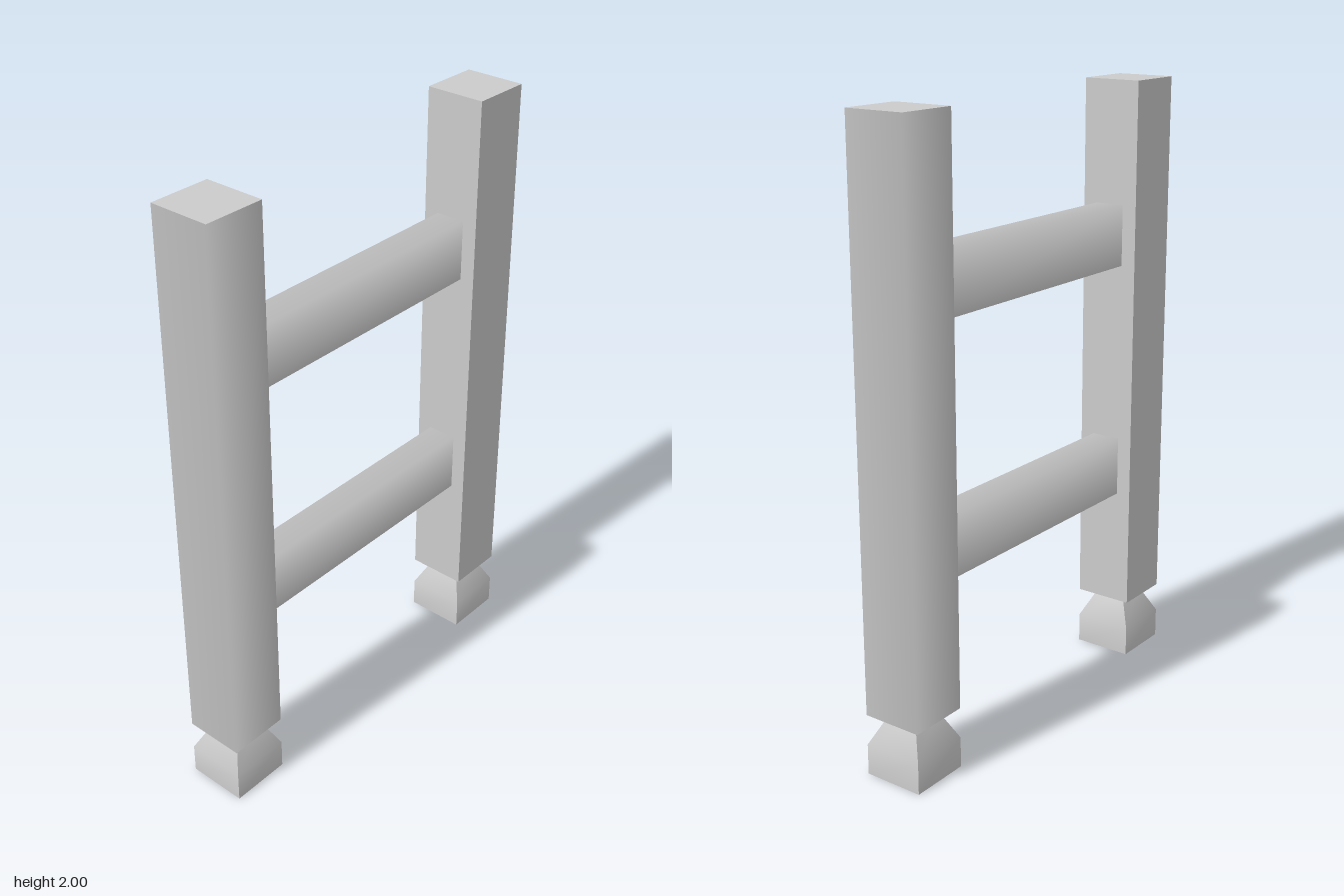
import * as THREE from 'three';

const material = new THREE.MeshStandardMaterial({ color: 0xcccccc });
const POST_Z = 0.567, WIDTH = 0.2, RAIL_LENGTH = 2 * POST_Z - WIDTH;

// Box running along one axis, with smooth shading across its two long edges on the + side of another
function softBox(w, h, d, lengthAxis, softAxis) {
  const geometry = new THREE.BoxGeometry(w, h, d);
  const { position, normal } = geometry.attributes;
  const p = new THREE.Vector3(), n = new THREE.Vector3();
  for (let i = 0; i < position.count; i++) {
    p.fromBufferAttribute(position, i);
    n.fromBufferAttribute(normal, i);
    if (Math.abs(n[lengthAxis]) > 0.5 || p[softAxis] < 0) continue;
    n.set(Math.sign(p.x), Math.sign(p.y), Math.sign(p.z));
    n[lengthAxis] = 0;
    n.normalize();
    normal.setXYZ(i, n.x, n.y, n.z);
  }
  return geometry;
}

// Square foot whose upper half tapers to a neck
function footGeometry() {
  const geometry = new THREE.BoxGeometry(WIDTH, 0.2, WIDTH, 1, 2, 1);
  const position = geometry.attributes.position;
  for (let i = 0; i < position.count; i++) {
    if (position.getY(i) > 0.05) {
      position.setX(i, position.getX(i) * 0.5);
      position.setZ(i, position.getZ(i) * 0.5);
    }
  }
  geometry.computeVertexNormals();
  return geometry;
}

function addPart(parent, name, geometry, y, z = 0) {
  const mesh = new THREE.Mesh(geometry, material);
  mesh.name = name;
  mesh.position.set(0, y, z);
  parent.add(mesh);
}

export function createModel() {
  const model = new THREE.Group();
  model.name = 'railFrame';

  // Upright posts on tapered feet, rounded-shaded sides facing outward
  const post = softBox(WIDTH, 1.8, WIDTH, 'y', 'z');
  const foot = footGeometry();
  for (const [name, angle] of [['front', 0], ['back', Math.PI]]) {
    const leg = new THREE.Group();
    leg.name = name + 'Leg';
    leg.rotation.y = angle;
    addPart(leg, name + 'Post', post, 1.1, POST_Z);
    addPart(leg, name + 'Foot', foot, 0.1, POST_Z);
    model.add(leg);
  }

  // Two cross rails between the posts
  const rail = softBox(0.1, 0.2, RAIL_LENGTH, 'z', 'y');
  addPart(model, 'lowerRail', rail, 0.7);
  addPart(model, 'upperRail', rail, 1.5);

  return model;
}
